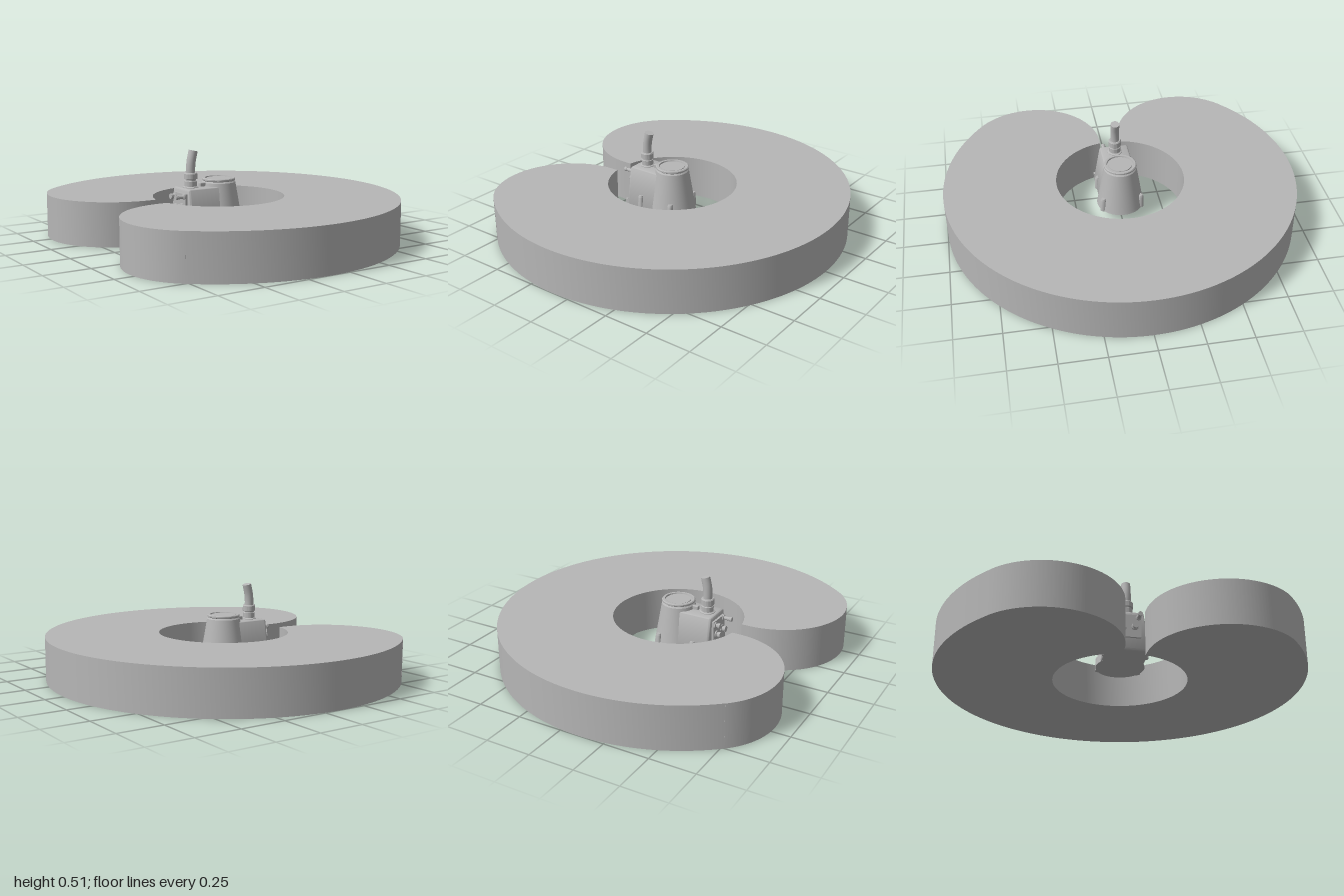
import * as THREE from 'three';
import { toCreasedNormals } from 'three/addons/utils/BufferGeometryUtils.js';
import { RoundedBoxGeometry } from 'three/addons/geometries/RoundedBoxGeometry.js';

const CX = -0.105; // shared centre of the ring and the round tower

export function createModel() {
  const model = new THREE.Group();
  const grey = new THREE.MeshStandardMaterial({ color: 0xb6b6b6 });
  grey.name = 'plain grey';

  const add = (name, geometry, x = 0, y = 0, z = 0, parent = model) => {
    const mesh = new THREE.Mesh(geometry, grey);
    mesh.name = name;
    mesh.position.set(x, y, z);
    parent.add(mesh);
    return mesh;
  };
  const lathe = (points, segments = 40) => toCreasedNormals(
    new THREE.LatheGeometry(points.map(p => new THREE.Vector2(...p)), segments), 0.5);
  const group = (name) => {
    const g = new THREE.Group();
    g.name = name;
    model.add(g);
    return g;
  };

  // C-shaped ring with two rounded lobes beside the opening
  const lobeX = -0.505, lobeZ = 0.455, lobeR = 0.395, gap = 0.06, holeR = 0.365;
  const join = Math.atan2(lobeZ, lobeX - CX);
  const mouth = Math.PI - Math.asin(gap / holeR);
  const outline = new THREE.Shape();
  outline.absarc(CX, 0, 1, -join, join, false);
  outline.absarc(lobeX, lobeZ, lobeR, join, Math.PI * 1.5, false);
  outline.absarc(CX, 0, holeR, mouth, -mouth, true);
  outline.absarc(lobeX, -lobeZ, lobeR, Math.PI / 2, 2 * Math.PI - join, false);
  const ring = new THREE.ExtrudeGeometry(outline, { depth: 0.245, bevelEnabled: false, curveSegments: 72 });
  ring.rotateX(-Math.PI / 2);
  add('ring', toCreasedNormals(ring, 0.5));

  // Round tower with a flanged, recessed cap
  add('tower', lathe([
    [0, 0.08], [0.134, 0.08], [0.131, 0.095], [0.106, 0.245], [0.093, 0.322], [0.086, 0.33], [0, 0.33],
  ], 56), CX);
  add('cap', lathe([
    [0.084, 0.328], [0.092, 0.334], [0.092, 0.342], [0.088, 0.346], [0.076, 0.346],
    [0.074, 0.338], [0.068, 0.338], [0.067, 0.343], [0, 0.343],
  ], 56), CX);

  // Housing behind the tower, narrowing upwards
  const housing = new RoundedBoxGeometry(0.24, 0.225, 0.24, 4, 0.012);
  const pos = housing.attributes.position;
  for (let i = 0; i < pos.count; i++) {
    const t = (pos.getY(i) + 0.1125) / 0.225;
    pos.setZ(i, pos.getZ(i) * (1 - 0.32 * t));
  }
  add('housing', toCreasedNormals(housing, 0.6), -0.225, 0.1925);

  // Bolt bosses round the foot
  const bosses = group('boltBosses');
  for (const side of [-1, 1]) {
    for (const [x, z] of [[-0.04, 0.108], [-0.25, 0.108]]) {
      add('boltBoss', lathe([[0, 0], [0.018, 0], [0.016, 0.07], [0.012, 0.08], [0, 0.08]], 16), x, 0.08, side * z, bosses);
    }
    add('cornerTab', new THREE.BoxGeometry(0.018, 0.03, 0.014), -0.348, 0.1, side * 0.11, bosses);
  }

  // Collar and slightly bent pipe
  add('collar', lathe([
    [0, 0.3], [0.042, 0.3], [0.042, 0.308], [0.033, 0.312], [0.033, 0.34], [0.029, 0.343],
    [0.029, 0.349], [0.036, 0.352], [0.036, 0.38], [0.032, 0.386], [0, 0.386],
  ]), -0.285);
  const bend = new THREE.CatmullRomCurve3([
    [-0.285, 0.38], [-0.285, 0.41], [-0.281, 0.45], [-0.268, 0.505],
  ].map(([x, y]) => new THREE.Vector3(x, y, 0)));
  add('pipe', new THREE.TubeGeometry(bend, 20, 0.025, 24));
  const end = add('pipeEnd', new THREE.CircleGeometry(0.025, 24), -0.268, 0.505);
  end.quaternion.setFromUnitVectors(new THREE.Vector3(0, 0, 1), bend.getTangent(1));

  // Small latch on the housing top
  add('latch', new RoundedBoxGeometry(0.036, 0.026, 0.024, 2, 0.005), -0.213, 0.313);

  // End panel with connectors pointing outwards
  const panel = group('endPanel');
  add('panelPlate', new THREE.BoxGeometry(0.014, 0.13, 0.13), -0.35, 0.215, 0, panel);
  const connector = (y, z, length, r) => {
    const mesh = add('connector', lathe([
      [0, 0], [r * 1.5, 0], [r * 1.5, 0.018], [r, 0.02], [r, length - 0.015],
      [r * 1.25, length - 0.013], [r * 1.25, length], [0, length],
    ], 20), -0.345, y, z, panel);
    mesh.rotation.z = Math.PI / 2;
  };
  connector(0.265, 0.05, 0.066, 0.01);
  connector(0.258, -0.045, 0.042, 0.012);
  connector(0.21, 0.03, 0.04, 0.013);
  connector(0.2, -0.035, 0.04, 0.013);

  return model;
}
